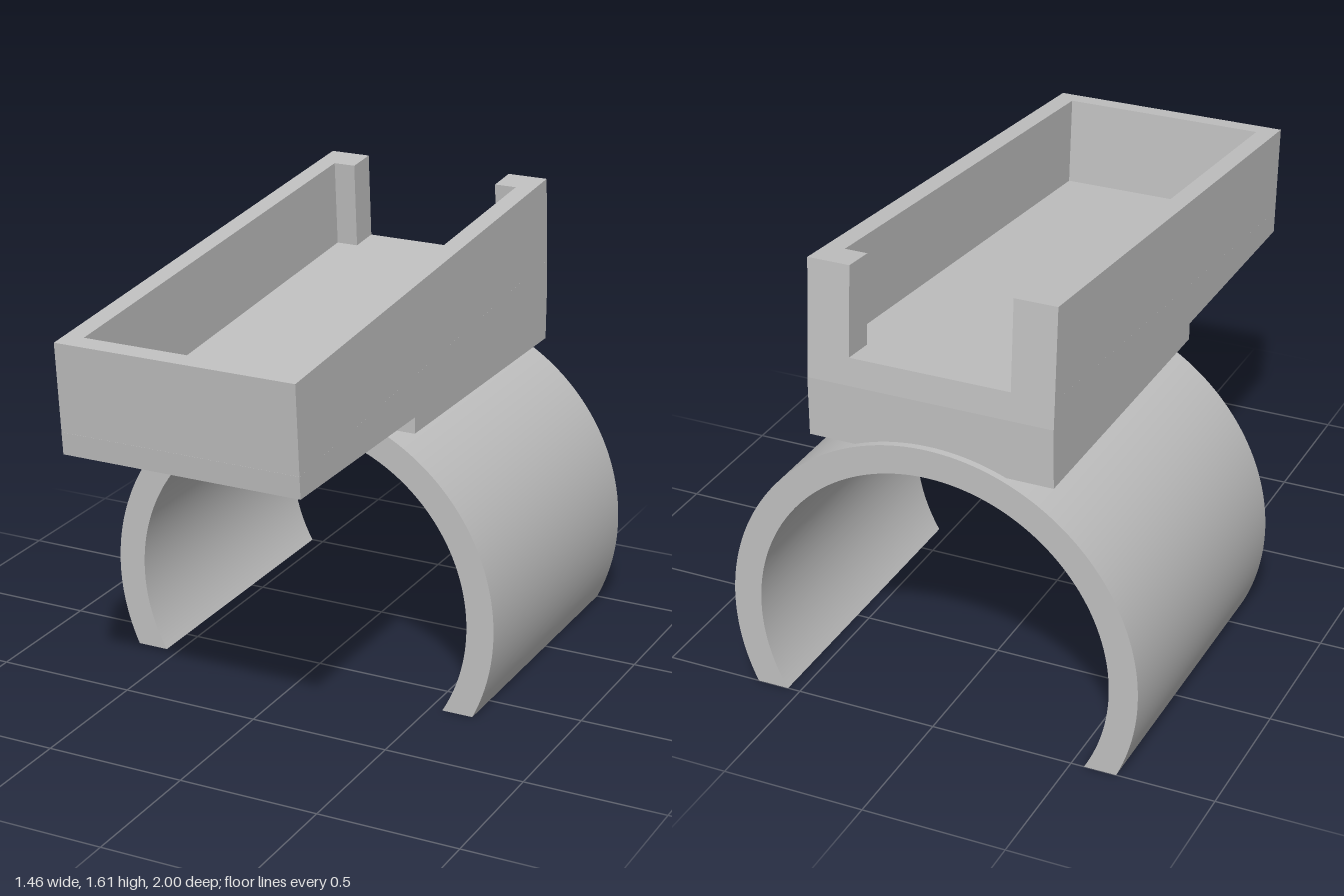
import * as THREE from 'three';
import { toCreasedNormals } from 'three/addons/utils/BufferGeometryUtils.js';

export function createModel() {
  const model = new THREE.Group();
  const grey = new THREE.MeshStandardMaterial({ color: 0xc0c0c0 });
  grey.name = 'plain grey';

  const add = (name, geometry) => {
    const mesh = new THREE.Mesh(geometry, grey);
    mesh.name = name;
    model.add(mesh);
    return mesh;
  };
  const polygon = (points) => new THREE.Shape(points.map(([a, b]) => new THREE.Vector2(a, b)));
  const extrude = (shape, depth) =>
    new THREE.ExtrudeGeometry(shape, { depth, bevelEnabled: false, curveSegments: 72 });

  // Open clamp ring, cut flat at y = 0
  const outer = 0.73, inner = 0.63, centreY = 0.315, back = -1, front = 0.145;
  const a = -Math.asin(centreY / outer), b = -Math.asin(centreY / inner);
  const ring = new THREE.Shape();
  ring.absarc(0, centreY, outer, a, Math.PI - a, false);
  ring.absarc(0, centreY, inner, Math.PI - b, b, true);
  ring.closePath();
  add('clampRing', toCreasedNormals(extrude(ring, front - back), 0.5)).position.z = back;

  // Sloping tray floor with the mounting block beneath it, as a (z, y) side profile
  const half = 0.428;
  const base = polygon([
    [0.967, 1.053], [0.974, 1.131], [-0.966, 1.296], [-0.975, 1.2],
    [-0.975, 0.995], [front, 0.995], [front, 1.053],
  ]);
  const floor = add('trayFloorAndMount', extrude(base, half * 2));
  floor.rotation.y = -Math.PI / 2;
  floor.position.x = half;

  // Tray wall drawn in the sloping rim plane, open at the back between two lips
  const length = 1.947, depth = 0.31, side = 0.36, gap = 0.28;
  const rim = polygon([
    [-half, 0], [-gap, 0], [-gap, 0.12], [-side, 0.12], [-side, length - 0.07],
    [side, length - 0.07], [side, 0.12], [gap, 0.12], [gap, 0], [half, 0],
    [half, length], [-half, length],
  ]);
  const wall = extrude(rim, depth);
  const along = new THREE.Vector3(0, -0.165, 1.94).normalize();
  const across = new THREE.Vector3(1, 0, 0);
  const down = across.clone().cross(along);
  wall.applyMatrix4(new THREE.Matrix4().makeBasis(across, along, down).setPosition(0, 1.605, -0.94));
  add('trayWall', wall);

  return model;
}
